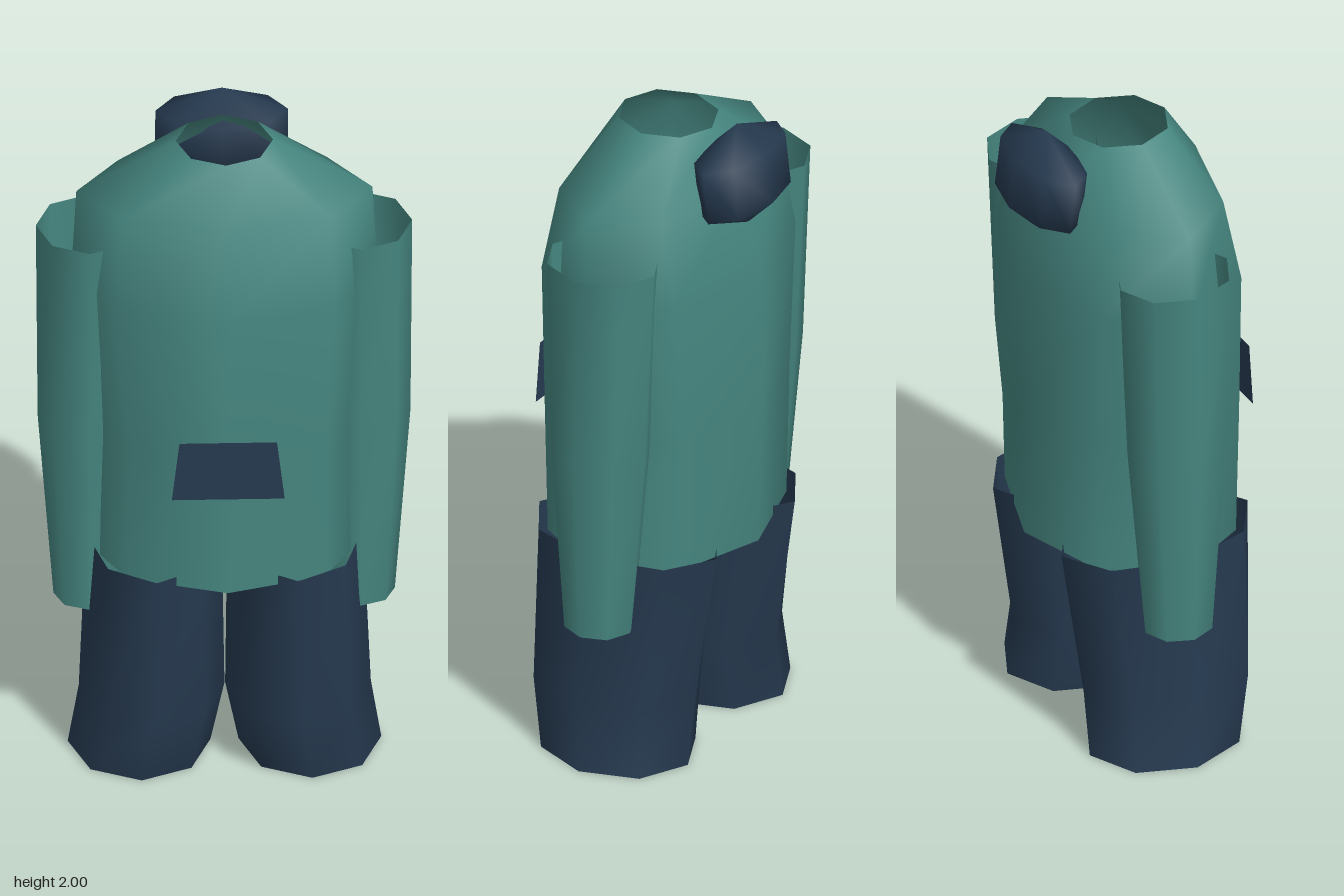
import * as THREE from 'three';

const SIDES = 8;

// Open smooth tube through elliptical rings: [y, centreX, centreZ, radiusX, radiusZ], bottom to top
function loft(rings) {
  const pos = [], idx = [];
  for (const [y, cx, cz, rx, rz] of rings) {
    for (let i = 0; i < SIDES; i++) {
      const a = (i / SIDES) * Math.PI * 2;
      pos.push(cx + Math.sin(a) * rx, y, cz + Math.cos(a) * rz);
    }
  }
  for (let r = 0; r < rings.length - 1; r++) {
    for (let i = 0; i < SIDES; i++) {
      const j = (i + 1) % SIDES;
      const a = r * SIDES + i, b = r * SIDES + j;
      idx.push(a, b, b + SIDES, a, b + SIDES, a + SIDES);
    }
  }
  const g = new THREE.BufferGeometry();
  g.setAttribute('position', new THREE.Float32BufferAttribute(pos, 3));
  g.setIndex(idx);
  g.computeVertexNormals();
  return g;
}

export function createModel() {
  const model = new THREE.Group();
  model.name = 'hoodedOutfit';

  const teal = new THREE.MeshStandardMaterial({ color: 0x468680, side: THREE.DoubleSide });
  teal.name = 'teal cloth';
  const navy = new THREE.MeshStandardMaterial({ color: 0x263a50, side: THREE.DoubleSide });
  navy.name = 'navy cloth';

  const add = (name, geometry, material) => {
    const mesh = new THREE.Mesh(geometry, material);
    mesh.name = name;
    model.add(mesh);
    return mesh;
  };

  // Jacket body, open at hem and neck
  add('jacketBody', loft([
    [0.65, 0, 0.005, 0.40, 0.315],
    [1.07, 0, 0.005, 0.40, 0.33],
    [1.53, 0, 0, 0.44, 0.325],
    [1.80, 0, 0, 0.425, 0.25],
    [1.96, 0, 0, 0.14, 0.15],
  ]), teal);

  // Sleeves and trouser legs, mirrored
  for (const [side, s] of [['left', 1], ['right', -1]]) {
    add(side + 'Sleeve', loft([
      [0.47, s * 0.39, -0.022, 0.10, 0.105],
      [1.05, s * 0.39, -0.03, 0.145, 0.148],
      [1.67, s * 0.39, -0.035, 0.15, 0.174],
    ]), teal);
    add(side + 'TrouserLeg', loft([
      [0, s * 0.245, 0.01, 0.205, 0.24],
      [0.2, s * 0.21, 0.037, 0.209, 0.268],
      [0.68, s * 0.203, 0.005, 0.195, 0.305],
    ]), navy);
  }

  // Rolled hood behind the neck
  const hood = add('hood', new THREE.SphereGeometry(1, 8, 3), navy);
  hood.scale.set(0.22, 0.157, 0.111);
  hood.rotation.x = 0.12;
  hood.position.set(0, 1.845, -0.255);

  // Flat front pocket
  const outline = new THREE.Shape([
    new THREE.Vector2(-0.162, 0.975), new THREE.Vector2(0.162, 0.975),
    new THREE.Vector2(0.14, 1.16), new THREE.Vector2(-0.14, 1.16),
  ]);
  add('frontPocket', new THREE.ShapeGeometry(outline), navy).position.z = 0.35;

  return model;
}
